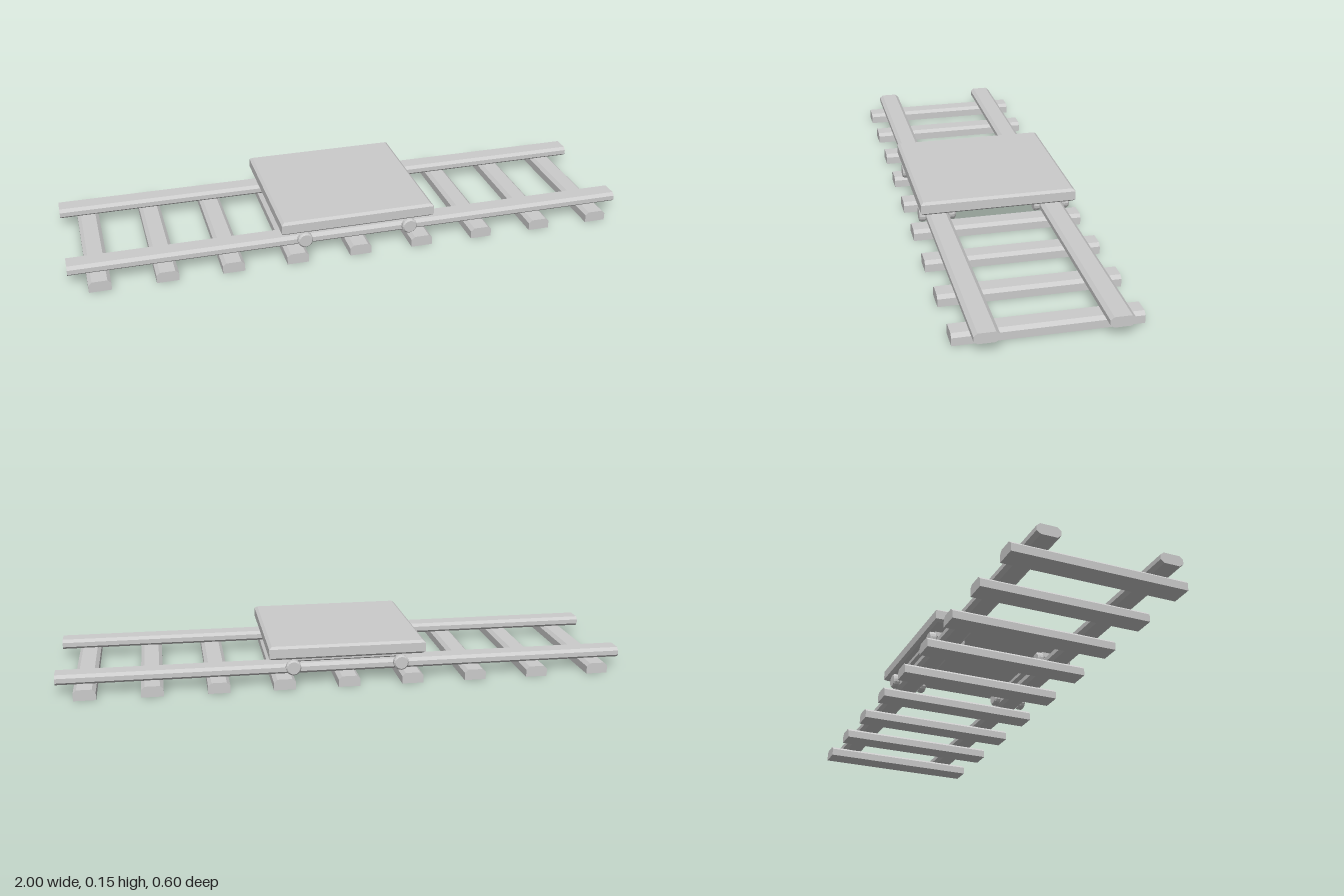
import * as THREE from 'three';

const material = new THREE.MeshStandardMaterial({ color: 0xcccccc, flatShading: true });

function add(parent, name, geometry, x = 0, y = 0, z = 0) {
  const mesh = new THREE.Mesh(geometry, material);
  mesh.name = name;
  mesh.position.set(x, y, z);
  parent.add(mesh);
  return mesh;
}

// Extrudes a cross-section and centres it along its length (z)
function bar(points, length) {
  const shape = new THREE.Shape(points.map(([x, y]) => new THREE.Vector2(x, y)));
  return new THREE.ExtrudeGeometry(shape, { depth: length, bevelEnabled: false })
    .translate(0, 0, -length / 2);
}

export function createModel() {
  const model = new THREE.Group();
  model.name = 'railCart';
  const track = new THREE.Group();
  track.name = 'track';
  const cart = new THREE.Group();
  cart.name = 'cart';
  model.add(track, cart);

  // Sleepers with chamfered tops
  const sleeper = bar([
    [-0.038, 0], [0.038, 0], [0.038, 0.027], [0.026, 0.038], [-0.026, 0.038], [-0.038, 0.027],
  ], 0.6);
  for (let i = -4; i <= 4; i++) add(track, 'sleeper', sleeper, i * 0.225);

  // Eight-sided rails
  const rail = bar([
    [-0.027, 0.037], [0.027, 0.037], [0.04, 0.047], [0.04, 0.063],
    [0.028, 0.073], [-0.028, 0.073], [-0.04, 0.063], [-0.04, 0.047],
  ], 2).rotateY(Math.PI / 2);

  // Bars below the deck, chamfered underneath
  const runner = bar([
    [-0.028, 0.079], [0.028, 0.079], [0.04, 0.086], [0.04, 0.099], [-0.04, 0.099], [-0.04, 0.086],
  ], 0.39).rotateY(Math.PI / 2);

  // Wheels with bevelled rims, turned on the z axis
  const wheelProfile = [
    [0, -0.0125], [0.022, -0.0125], [0.027, -0.007], [0.027, 0.007], [0.022, 0.0125], [0, 0.0125],
  ].map(([r, y]) => new THREE.Vector2(r, y));
  const wheel = new THREE.LatheGeometry(wheelProfile, 16).rotateX(Math.PI / 2);
  const axle = new THREE.CylinderGeometry(0.012, 0.012, 0.1, 10).rotateX(Math.PI / 2);

  for (const side of [-1, 1]) {
    const z = side * 0.2065;
    add(track, 'rail', rail, 0, 0, z);
    add(cart, 'runner', runner, 0, 0, z);
    for (const x of [-0.19, 0.19]) {
      add(cart, 'axle', axle, x, 0.066, z);
      for (const dz of [-0.052, 0.052]) add(cart, 'wheel', wheel, x, 0.066, z + dz);
    }
  }

  // Deck plate with chamfered upper and lower edges
  const h = 0.265, c = 0.01;
  const square = new THREE.Shape([
    new THREE.Vector2(-h, -h), new THREE.Vector2(h, -h),
    new THREE.Vector2(h, h), new THREE.Vector2(-h, h),
  ]);
  const deck = new THREE.ExtrudeGeometry(square, {
    depth: 0.032, bevelThickness: 0.008, bevelSize: c, bevelSegments: 1,
  }).rotateX(-Math.PI / 2);
  add(cart, 'deck', deck, 0, 0.106, 0);

  return model;
}
